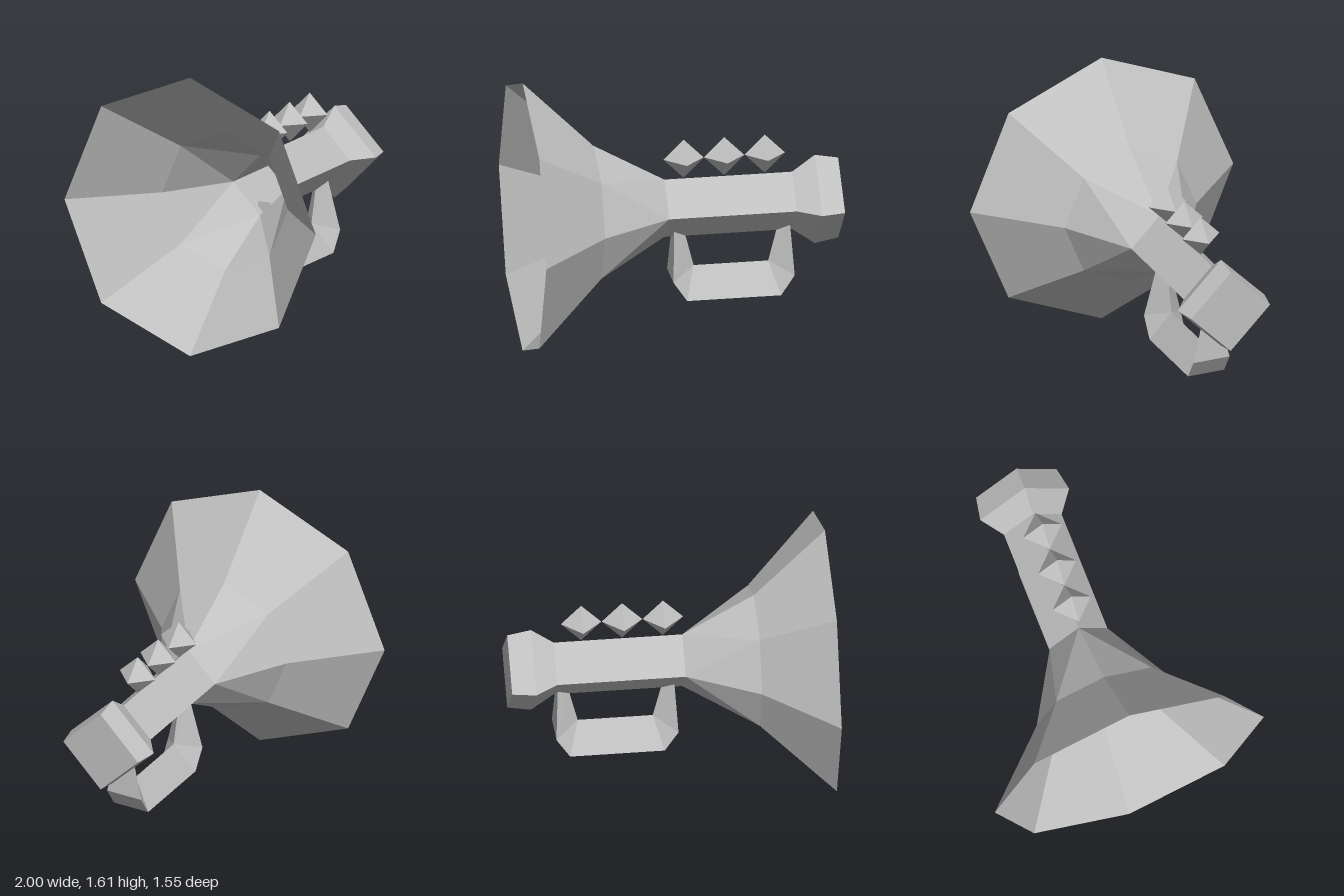
import * as THREE from 'three';

const AXIS_Y = 0.807;

// Joins cross-sections (rings of Vector3, ordered y -> z around the path) with flat faces.
function loft(rings, capStart, capEnd) {
  const pos = [];
  const tri = (a, b, c) => {
    const n = b.clone().sub(a).cross(c.clone().sub(a));
    if (n.length() > 1e-8) for (const p of [a, b, c]) pos.push(p.x, p.y, p.z);
  };
  const count = rings[0].length;
  for (let i = 0; i < rings.length - 1; i++) {
    for (let k = 0; k < count; k++) {
      const j = (k + 1) % count;
      const a = rings[i][k], b = rings[i][j], c = rings[i + 1][j], d = rings[i + 1][k];
      tri(a, b, c);
      tri(a, c, d);
    }
  }
  const first = rings[0], last = rings[rings.length - 1];
  for (let k = 1; k < count - 1; k++) {
    if (capStart) tri(first[0], first[k + 1], first[k]);
    if (capEnd) tri(last[0], last[k], last[k + 1]);
  }
  const geo = new THREE.BufferGeometry();
  geo.setAttribute('position', new THREE.Float32BufferAttribute(pos, 3));
  geo.computeVertexNormals();
  return geo;
}

// Regular ring around the horn's axis at distance s from the rim.
function ring(s, r, sides) {
  return Array.from({ length: sides }, (_, k) => {
    const a = (k / sides) * Math.PI * 2;
    return new THREE.Vector3(s, r * Math.cos(a), r * Math.sin(a));
  });
}

export function createModel() {
  const grey = new THREE.MeshStandardMaterial({ color: 0xc0c0c0, flatShading: true, side: THREE.DoubleSide });
  grey.name = 'paleGrey';

  const horn = new THREE.Group();
  horn.name = 'horn';
  const add = (name, geo) => {
    const mesh = new THREE.Mesh(geo, grey);
    mesh.name = name;
    horn.add(mesh);
    return mesh;
  };

  // Hollow eight-sided bell narrowing to the square tube (each neck corner used twice)
  const neck = ring(0.802, 0.172, 4);
  const neckPairs = Array.from({ length: 8 }, (_, k) => neck[Math.floor(k / 2)]);
  add('bell', loft([ring(0, 0.803, 8), ring(0.4, 0.402, 8), neckPairs], false, false));

  // Square tube set on its edge, and the flared mouthpiece
  add('tube', loft([ring(0.802, 0.172, 4), ring(1.525, 0.172, 4)], false, false));
  add('mouthpiece', loft([ring(1.525, 0.172, 4), ring(1.653, 0.265, 4), ring(1.786, 0.24, 4)], false, true));

  // Three valve buttons
  for (let i = 0; i < 3; i++) {
    const valve = add('valve' + (i + 1), new THREE.OctahedronGeometry(0.114, 0));
    valve.position.set(0.911 + i * 0.23, 1.098 - AXIS_Y, 0);
  }

  // Handle: triangular section with its ridge inside, mirrored about the middle
  const MID = 1.179;
  const section = ([si, yi, so, yo, w]) => [
    new THREE.Vector3(si, yi - AXIS_Y, 0),
    new THREE.Vector3(so, yo - AXIS_Y, w),
    new THREE.Vector3(so, yo - AXIS_Y, -w),
  ];
  const half = [
    [0.916, 0.66, 0.852, 0.70, 0.037],
    [0.968, 0.455, 0.836, 0.40, 0.11],
    [0.968, 0.455, 0.913, 0.285, 0.11],
  ];
  const mirrored = half.map(([si, yi, so, yo, w]) => [2 * MID - si, yi, 2 * MID - so, yo, w]).reverse();
  add('handle', loft([...half, ...mirrored].map(section), true, true));

  // The whole horn is turned a little about the vertical
  horn.position.set(-0.79, AXIS_Y, 0);
  horn.rotation.y = Math.PI / 12;

  const model = new THREE.Group();
  model.name = 'trumpet';
  model.add(horn);
  return model;
}
